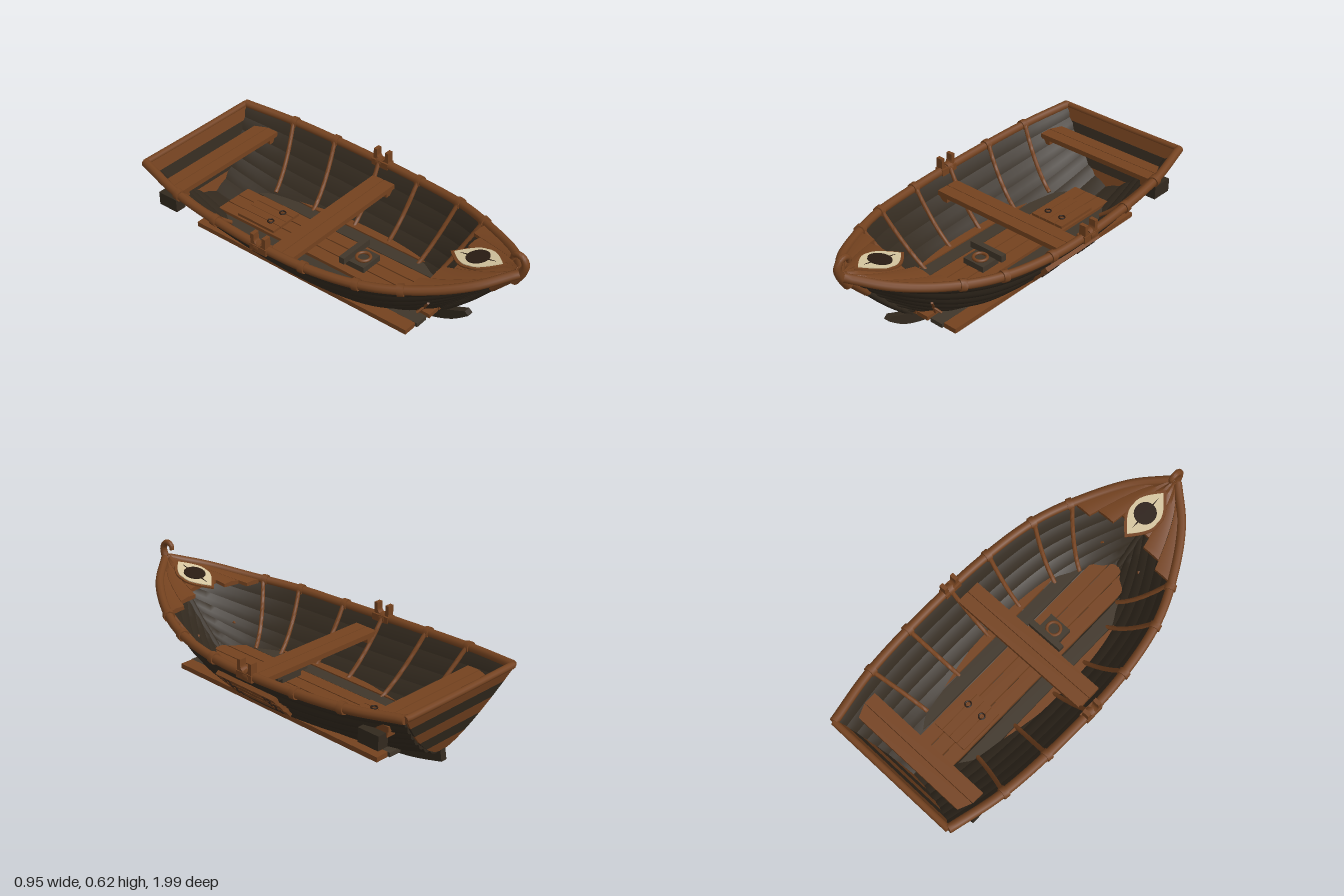
import * as THREE from 'three';
import { toCreasedNormals } from 'three/addons/utils/BufferGeometryUtils.js';

const V = (x, y, z) => new THREE.Vector3(x, y, z);
const paint = (name, color) => {
  const m = new THREE.MeshStandardMaterial({ color });
  m.name = name;
  return m;
};
const wood = paint('warm wood', 0x74421f);
const tar = paint('tarred wood', 0x32291e);
const greyWood = paint('weathered wood', 0x40362a);
const cream = paint('cream paint', 0xd6c6a0);
const black = paint('black paint', 0x2a1c13);

// Gunwale line and hull bottom line, stern to bow, sharing one parameter s
const sheer = new THREE.CatmullRomCurve3([
  V(0.36, 0.45, -0.98), V(0.42, 0.42, -0.7), V(0.447, 0.395, -0.3), V(0.437, 0.385, 0.1),
  V(0.385, 0.4, 0.4), V(0.29, 0.425, 0.62), V(0.16, 0.47, 0.82), V(0.012, 0.515, 0.955)]);
const bottom = new THREE.CatmullRomCurve3([
  V(0, 0.13, -0.885), V(0, 0.07, -0.6), V(0, 0.045, -0.25), V(0, 0.04, 0.08),
  V(0, 0.05, 0.3), V(0, 0.07, 0.43), V(0, 0.1, 0.52), V(0, 0.14, 0.6)]);

// Hull point: f runs from keel (0) to gunwale (1), off moves it outwards
function hull(s, f, off = 0) {
  const g = sheer.getPoint(s), k = bottom.getPoint(s);
  const e = 1.3 + 0.9 * Math.sin(Math.PI * Math.min(1, 0.1 + s * 0.9));
  const h = Math.pow(f, e);
  const dy = (g.y - k.y) * e * Math.pow(Math.max(f, 0.001), e - 1), len = Math.hypot(g.x, dy);
  return V(g.x * f + off * dy / len, k.y + (g.y - k.y) * h - off * g.x / len, k.z + (g.z - k.z) * h);
}
function sAt(z) {
  let a = 0, b = 1;
  for (let i = 0; i < 30; i++) {
    const m = (a + b) / 2;
    if (sheer.getPoint(m).z < z) a = m; else b = m;
  }
  return a;
}

// Solid through closed cross-sections, wound outwards by its signed volume
function loft(rings) {
  const n = rings[0].length, pts = rings.flat(), idx = [];
  for (let i = 0; i < rings.length - 1; i++) for (let j = 0; j < n; j++) {
    const a = i * n + j, b = i * n + (j + 1) % n;
    idx.push(a, b, b + n, a, b + n, a + n);
  }
  const last = (rings.length - 1) * n;
  for (let j = 1; j < n - 1; j++) idx.push(0, j + 1, j, last, last + j, last + j + 1);
  let vol = 0;
  for (let i = 0; i < idx.length; i += 3)
    vol += pts[idx[i]].dot(V(0, 0, 0).crossVectors(pts[idx[i + 1]], pts[idx[i + 2]]));
  if (vol < 0) idx.reverse();
  const geo = new THREE.BufferGeometry().setFromPoints(pts);
  geo.setIndex(idx);
  return toCreasedNormals(geo, 0.7);
}
const steps = (n, a, b) => Array.from({ length: n + 1 }, (_, i) => a + (b - a) * i / n);
const flip = (p, side) => V(p.x * side, p.y, p.z);

// Round bar along points, optionally tapering, with rounded ends
function bar(points, r, endR = r, seg = 24) {
  const curve = new THREE.CatmullRomCurve3(points);
  const rings = steps(seg, 0, 1).map((t) => {
    const c = curve.getPointAt(t), d = curve.getTangentAt(t);
    const u = V(0, 0, 0).crossVectors(d, Math.abs(d.x) > 0.9 ? V(0, 1, 0) : V(1, 0, 0)).normalize();
    const w = V(0, 0, 0).crossVectors(d, u), rad = r + (endR - r) * t;
    return steps(9, 0, Math.PI * 1.8).map((a) =>
      c.clone().addScaledVector(u, rad * Math.cos(a)).addScaledVector(w, rad * Math.sin(a)));
  });
  return loft(rings);
}

export function createModel() {
  const boat = new THREE.Group();
  boat.name = 'rowingBoat';
  const add = (name, geo, mat, x = 0, y = 0, z = 0, parent = boat) => {
    const m = new THREE.Mesh(geo, mat);
    m.name = name;
    m.position.set(x, y, z);
    parent.add(m);
    return m;
  };
  const box = (name, mat, w, h, d, x, y, z, parent) =>
    add(name, new THREE.BoxGeometry(w, h, d), mat, x, y, z, parent);

  const ribs = [-0.69, -0.43, -0.15, 0.1, 0.37, 0.56];
  for (const side of [1, -1]) {
    // Rounded overlapping hull planks
    for (let i = 0; i < 7; i++) {
      const rings = steps(40, 0, 1).map((s) => {
        const f = (w) => Math.pow((i + w) / 7, 0.75);
        const outer = steps(6, 0, 1).map((w) => hull(s, f(w), 0.002 + 0.011 * Math.sin(Math.PI * Math.pow(w, 0.75))));
        const inner = [1, 0.5, 0].map((w) => hull(s, f(w), w === 0.5 ? -0.014 : -0.006));
        return [...outer, ...inner].map((p) => flip(V(Math.max(p.x, 0), p.y, p.z), side));
      });
      add('hullPlank', loft(rings), tar);
    }
    // Gunwale with bands, and ribs inside
    add('gunwale', bar(steps(30, 0, 1).map((s) => flip(sheer.getPoint(s), side)), 0.022, 0.022, 60), wood);
    for (const z of ribs) {
      const s = sAt(z), p = sheer.getPoint(s), t = sheer.getTangent(s);
      const at = (d) => flip(p.clone().addScaledVector(t, d), side);
      add('gunwaleBand', bar([at(-0.015), at(0.015)], 0.029, 0.029, 2), wood);
      add('rib', bar(steps(8, 0.42, 0.99).map((f) => flip(hull(s, f, -0.017), side)), 0.011), wood);
    }
    // Foredeck planks
    for (let i = 0; i < 3; i++) {
      const rings = steps(16, [0.75, 0.715, 0.685][i], 0.995).map((s) => {
        const g = sheer.getPoint(s);
        const p = (f, d) => V(side * g.x * f, g.y + 0.022 * (1 - f) + d, g.z);
        const a = i / 3, b = (i + 1) / 3 - 0.008;
        return [p(a, 0), p((a + b) / 2, 0.006), p(b, 0), p(b, -0.018), p(a, -0.018)];
      });
      add('foredeckPlank', loft(rings), wood);
    }
    // Oarlock: base block and notched upright
    box('oarlockBase', wood, 0.05, 0.035, 0.1, side * 0.449, 0.387, -0.14);
    const u = new THREE.Shape();
    u.moveTo(-0.045, 0); u.lineTo(0.045, 0); u.lineTo(0.045, 0.085); u.lineTo(0.025, 0.085);
    u.lineTo(0.025, 0.055); u.absarc(0, 0.055, 0.025, 0, -Math.PI, true);
    u.lineTo(-0.025, 0.085); u.lineTo(-0.045, 0.085); u.closePath();
    const lock = new THREE.ExtrudeGeometry(u, { depth: 0.036, bevelEnabled: false });
    lock.translate(0, 0, -0.018).rotateY(Math.PI / 2);
    add('oarlock', lock, wood, side * 0.452, 0.375, -0.14);
    // Stern side blocks
    box('sternBlock', tar, 0.06, 0.07, 0.115, side * 0.36, 0.305, -0.81);
    // Crossed staples on the bow
    const s = sAt(0.72), c = flip(hull(s, 0.58, 0.012), side);
    const d = flip(hull(s, 0.75, 0.012), side).sub(flip(hull(s, 0.42, 0.012), side)).multiplyScalar(0.5);
    add('bowStaple', bar([c.clone().sub(d), c.clone().add(d)], 0.006, 0.006, 2), wood);
    const e = V(side * 0.03, -0.025, -0.02);
    add('bowStaple', bar([c.clone().sub(e), c.clone().add(e)], 0.006, 0.006, 2), wood);
    // Outer floor boards, which run through the hull sides
    box('sideFloorBoard', wood, 0.07, 0.025, 1.3, side * 0.227, 0.128, -0.1);
    box('darkFloorBoard', greyWood, 0.07, 0.022, 1.32, side * 0.153, 0.126, -0.1);
  }

  // Striped transom
  for (let i = 0; i < 5; i++) {
    const rings = steps(4, i / 5, (i + 1) / 5).map((h) => {
      const p = hull(0, Math.pow(h, 1 / (1.3 + 0.9 * Math.sin(Math.PI * 0.1))));
      return [V(-p.x, p.y, p.z - 0.012), V(p.x, p.y, p.z - 0.012), V(p.x, p.y, p.z + 0.014), V(-p.x, p.y, p.z + 0.014)];
    });
    add('transomBoard', loft(rings), i % 2 ? tar : wood);
  }
  add('transomRail', bar([V(-0.36, 0.45, -0.98), V(0, 0.448, -0.98), V(0.36, 0.45, -0.98)], 0.017), wood);

  // Keel: curved blade under the hull
  const k = new THREE.Shape();
  k.moveTo(-0.91, 0.085);
  k.splineThru([[-0.7, 0.035], [-0.4, 0.01], [0, 0], [0.25, 0.008], [0.47, 0.035], [0.62, 0.085], [0.72, 0.155]]
    .map((p) => new THREE.Vector2(...p)));
  k.lineTo(0.7, 0.172);
  k.splineThru([[0.58, 0.125], [0.4, 0.075], [0, 0.055], [-0.4, 0.065], [-0.7, 0.1], [-0.9, 0.14]]
    .map((p) => new THREE.Vector2(...p)));
  k.closePath();
  const keel = new THREE.ExtrudeGeometry(k, { depth: 0.034, bevelEnabled: false, curveSegments: 40 });
  keel.translate(0, 0, -0.017).rotateY(-Math.PI / 2);
  add('keel', keel, tar);

  // Stem post and curled prow
  add('lowerStem', bar([V(0, 0.12, 0.57), V(0, 0.25, 0.71), V(0, 0.38, 0.83)], 0.02), tar);
  add('upperStem', bar([V(0, 0.37, 0.82), V(0, 0.45, 0.895), V(0, 0.52, 0.955)], 0.024), wood);
  add('prowCurl', bar([V(0, 0.46, 0.925), V(0, 0.52, 0.965), V(0, 0.565, 0.978), V(0, 0.597, 0.96),
    V(0, 0.604, 0.935), V(0, 0.592, 0.915), V(0, 0.572, 0.912)], 0.025, 0.012, 36), wood);

  // Floor: centre boards, hatch with rings, mast step
  for (const x of [-0.074, 0, 0.074]) box('floorBoard', wood, 0.068, 0.022, 1.32, x, 0.132, -0.09);
  for (const x of [-0.073, -0.024, 0.024, 0.073]) box('hatchBoard', wood, 0.046, 0.014, 0.24, x, 0.15, -0.51);
  for (const x of [-0.045, 0.045]) {
    const ring = add('hatchRing', new THREE.TorusGeometry(0.015, 0.004, 6, 16), black, x, 0.16, -0.455);
    ring.rotation.x = Math.PI / 2;
  }
  box('mastStep', greyWood, 0.125, 0.035, 0.11, 0, 0.157, 0.095);
  box('mastStepBar', greyWood, 0.2, 0.035, 0.03, 0, 0.19, 0.045);
  const ring = add('mastRing', new THREE.TorusGeometry(0.034, 0.008, 8, 24), wood, 0, 0.18, 0.1);
  ring.rotation.x = Math.PI / 2;

  // Thwarts, each of two boards with battens beneath
  for (const [y, z, w] of [[0.325, -0.085, 0.78], [0.36, -0.815, 0.69]]) {
    for (const d of [-0.034, 0.034]) box('thwartBoard', wood, w, 0.026, 0.065, 0, y, z + d);
    for (const x of [-0.36, 0.36]) box('thwartBatten', wood, 0.05, 0.03, 0.12, x * w / 0.78, y - 0.026, z);
  }

  // Repair boards lashed to the left side
  [[0.335, 0.212], [0.368, 0.25], [0.4, 0.287]].forEach(([x, y], i) => {
    const g = new THREE.Group();
    g.name = 'repairBoard';
    g.position.set(x, y, -0.09 + (i - 1) * 0.008);
    g.rotation.z = -0.72;
    boat.add(g);
    box('board', wood, 0.022, 0.044, 0.38, 0, 0, 0, g);
    for (const z of [0.14, 0.11, -0.12, -0.15]) box('lashing', black, 0.03, 0.03, 0.009, 0, 0, z, g);
  });

  // Painted eye on the foredeck
  const eye = new THREE.Group();
  eye.name = 'eye';
  eye.position.set(0, 0.485, 0.74);
  eye.rotation.x = -(Math.PI / 2 + 0.22);
  boat.add(eye);
  const lens = (w, l) => {
    const s = new THREE.Shape();
    s.moveTo(0, -l);
    s.bezierCurveTo(w * 0.7, -l * 0.6, w * 1.1, -l * 0.3, w, 0);
    s.bezierCurveTo(w * 1.1, l * 0.3, w * 0.7, l * 0.6, 0, l);
    s.bezierCurveTo(-w * 0.7, l * 0.6, -w * 1.1, l * 0.3, -w, 0);
    s.bezierCurveTo(-w * 1.1, -l * 0.3, -w * 0.7, -l * 0.6, 0, -l);
    return new THREE.ExtrudeGeometry(s, { depth: 0.008, bevelEnabled: false });
  };
  add('eyeRim', lens(0.086, 0.15), wood, 0, 0, -0.004, eye);
  add('eyeWhite', lens(0.074, 0.13), cream, 0, 0, 0, eye);
  add('eyeSlit', lens(0.005, 0.095), black, 0, 0, 0.002, eye);
  const iris = add('iris', new THREE.CylinderGeometry(0.055, 0.055, 0.009, 28), black, 0, 0, 0.008, eye);
  iris.rotation.x = Math.PI / 2;
  return boat;
}
